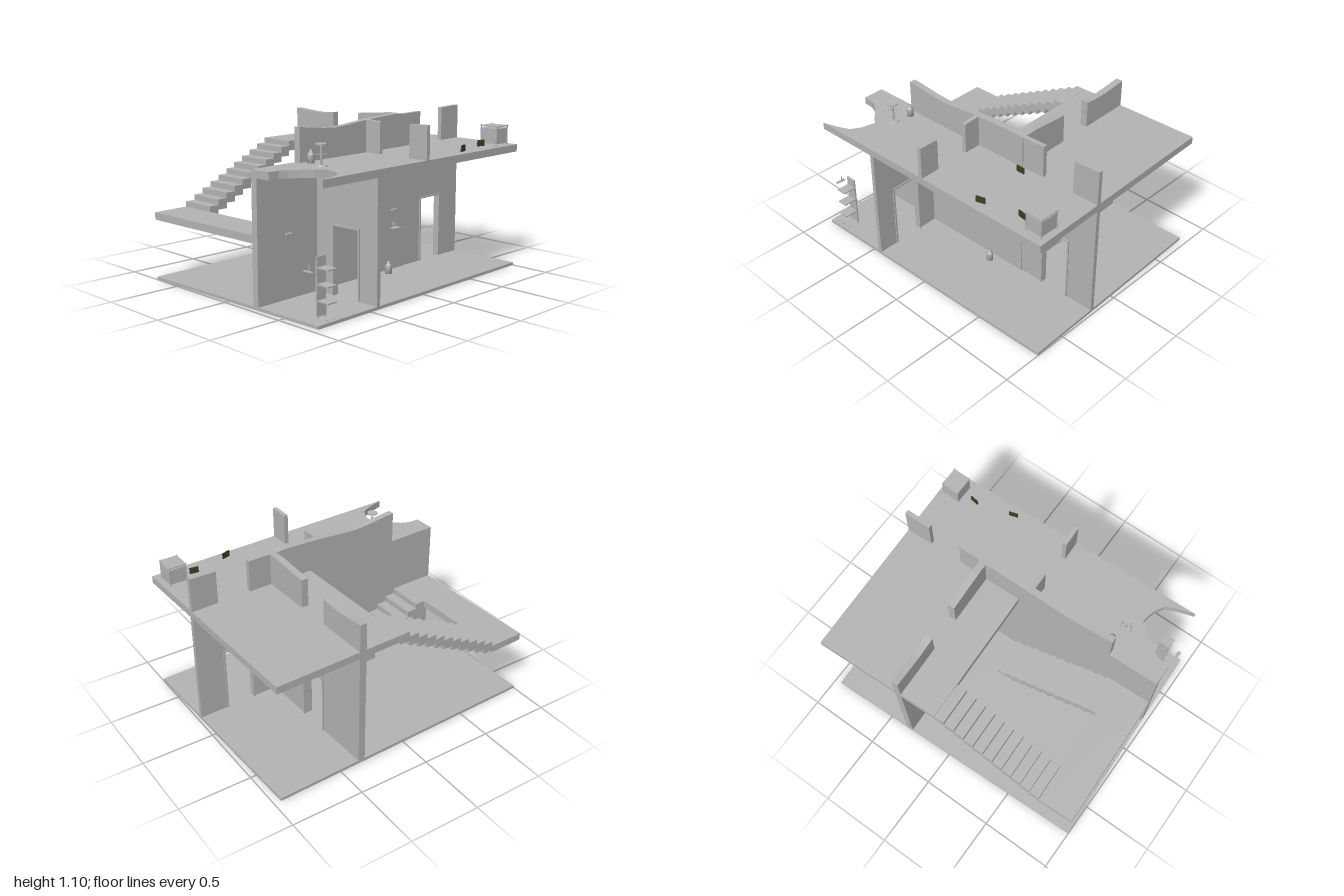
import * as THREE from 'three';

const grey = new THREE.MeshStandardMaterial({ color: 0xb4b4b4, side: THREE.DoubleSide });
grey.name = 'plaster grey';
const olive = new THREE.MeshStandardMaterial({ color: 0x3e3e22 });
olive.name = 'dark olive';

function add(parent, name, geo, x = 0, y = 0, z = 0, mat = grey) {
  const m = new THREE.Mesh(geo, mat);
  m.name = name;
  m.position.set(x, y, z);
  parent.add(m);
  return m;
}

// box given by its min and max on each axis
function block(parent, name, x0, x1, y0, y1, z0, z1, mat = grey) {
  return add(parent, name, new THREE.BoxGeometry(x1 - x0, y1 - y0, z1 - z0),
    (x0 + x1) / 2, (y0 + y1) / 2, (z0 + z1) / 2, mat);
}

// upright wall along x or z: top is a list of [along, y], door is [from, to, height]
function wall(parent, name, axis, c0, c1, y0, top, door) {
  const a = top[0][0], b = top[top.length - 1][0];
  const pts = [[a, y0]];
  if (door) pts.push([door[0], y0], [door[0], door[2]], [door[1], door[2]], [door[1], y0]);
  pts.push([b, y0], ...[...top].reverse());
  const shape = new THREE.Shape(pts.map(p => new THREE.Vector2(...p)));
  const geo = new THREE.ExtrudeGeometry(shape, { depth: c1 - c0, bevelEnabled: false });
  const m = add(parent, name, geo);
  if (axis === 'x') m.position.z = c0;
  else { m.rotation.y = -Math.PI / 2; m.position.x = c1; }
  if (!door) return;
  // door frame, standing slightly proud of the wall
  const f = 0.012, p = 0.008, [d0, d1, h] = door;
  for (const [u0, u1, v0, v1] of [[d0, d0 + f, y0, h], [d1 - f, d1, y0, h], [d0, d1, h - f, h]]) {
    if (axis === 'x') block(parent, 'doorFrame', u0, u1, v0, v1, c0 - p, c1 + p);
    else block(parent, 'doorFrame', c0 - p, c1 + p, v0, v1, u0, u1);
  }
}

// steps rising by equal amounts from x0 (low end) to x1 (high end)
function flight(parent, name, x0, x1, yLow, yHigh, z0, z1, n) {
  const g = new THREE.Group();
  g.name = name;
  parent.add(g);
  const tread = (x1 - x0) / n, rise = (yHigh - yLow) / n;
  for (let i = 0; i < n; i++) {
    const a = x0 + i * tread, b = a + tread, y = yLow + (i + 1) * rise;
    block(g, 'step', Math.min(a, b), Math.max(a, b), Math.max(0.02, y - rise * 1.9), y, z0, z1);
  }
}

function bottle(parent, x, y, z) {
  const prof = [[0, 0], [0.023, 0], [0.023, 0.05], [0.019, 0.061], [0.009, 0.068], [0.009, 0.083], [0, 0.083]];
  add(parent, 'bottle', new THREE.LatheGeometry(prof.map(p => new THREE.Vector2(...p)), 20), x, y, z);
}

export function createModel() {
  const root = new THREE.Group();
  root.name = 'house';
  const house = new THREE.Group();
  house.name = 'building';
  house.rotation.y = 0.031;
  root.add(house);
  const X = 0.975, Z = 0.757, G = 0.02, C = 0.81, U = 0.86;

  // floors: the upper one leaves out the stairwell and a curved bite at a front corner
  block(house, 'groundFloor', -X, X, 0, G, -Z, Z);
  const outline = [[0.08, -Z], [X, -Z], [X, Z], [-0.935, Z], [-0.9, 0.748], [-0.823, 0.725], [-0.742, 0.69],
    [-0.7, 0.62], [-0.677, 0.525], [-0.725, 0.49], [-0.785, 0.43], [-0.845, 0.385], [-0.9, 0.36],
    [-X, 0.355], [-X, 0.205], [0.08, 0.205]];
  const slab = new THREE.ExtrudeGeometry(new THREE.Shape(outline.map(p => new THREE.Vector2(...p))),
    { depth: U - C, bevelEnabled: false });
  slab.rotateX(Math.PI / 2);
  add(house, 'upperFloor', slab, 0, U, 0);

  // ground floor walls
  wall(house, 'mainWall', 'x', 0.205, 0.25, G, [[-X, C], [0.338, C]]);
  wall(house, 'crossWall', 'z', 0.338, 0.387, G, [[-Z, C], [0.25, C]], [-0.379, -0.144, 0.48]);
  wall(house, 'sideWall', 'x', 0.213, 0.243, G, [[0.387, C], [X, C]], [0.553, 0.778, 0.48]);
  wall(house, 'frontPartition', 'z', -0.472, -0.443, G, [[0.25, C], [Z, C]], [0.386, 0.616, 0.48]);

  // upper floor walls with wavy cut tops
  wall(house, 'upperMainWall', 'x', 0.205, 0.25, U, [[-0.618, 1.08], [-0.5, 1.068], [-0.4, 1.056],
    [-0.3, 1.05], [-0.2, 1.056], [0.01, 1.075], [0.27, 1.087], [0.387, 1.08]]);
  wall(house, 'upperSideWall', 'x', 0.213, 0.243, U, [[0.387, 1.08], [0.55, 1.083]]);
  wall(house, 'upperEndWall', 'x', 0.213, 0.243, U, [[0.787, 1.09], [X, 1.097]]);
  wall(house, 'upperCrossWall', 'z', 0.338, 0.387, U, [[-0.147, 1.058], [0, 1.07], [0.12, 1.08], [0.205, 1.08]]);
  wall(house, 'upperBackWall', 'z', 0.338, 0.387, U,
    [[-Z, 1.05], [-0.65, 1.04], [-0.53, 1.033], [-0.45, 1.037], [-0.385, 1.045]]);
  wall(house, 'upperPartition', 'z', -0.016, 0.013, U, [[0.25, 1.075], [0.37, 1.07]]);
  wall(house, 'upperPartition', 'z', -0.016, 0.013, U, [[0.615, 1.076], [Z, 1.08]]);

  // staircase with landing
  flight(house, 'lowerFlight', 0.082, -0.718, G, 0.46, -0.056, 0.205, 11);
  block(house, 'landing', -X, -0.718, 0.41, 0.46, -Z, 0.205);
  flight(house, 'upperFlight', -0.718, 0.078, 0.46, U, -Z, -0.502, 11);

  // cabinet with lid, posts and feet
  const cabinet = new THREE.Group();
  cabinet.name = 'cabinet';
  cabinet.position.set(0.893, U, 0.608);
  root.add(cabinet);
  block(cabinet, 'body', -0.062, 0.062, 0.01, 0.115, -0.066, 0.066);
  block(cabinet, 'lid', -0.064, 0.064, 0.125, 0.132, -0.069, 0.069);
  for (const sx of [-1, 1]) for (const sz of [-1, 1]) {
    add(cabinet, 'post', new THREE.CylinderGeometry(0.004, 0.004, 0.135, 8), sx * 0.06, 0.0675, sz * 0.065);
    add(cabinet, 'knob', new THREE.SphereGeometry(0.007, 10, 8), sx * 0.06, 0.131, sz * 0.065);
    add(cabinet, 'foot', new THREE.SphereGeometry(0.007, 10, 8), sx * 0.06, 0.007, sz * 0.065);
  }

  // small dark plates standing on the upper floor
  for (const [x, z, turn] of [[0.423, 0.285, 0], [0.468, 0.676, 0.3], [0.745, 0.61, -0.14]])
    add(root, 'darkPlate', new THREE.BoxGeometry(0.062, 0.042, 0.008), x, U + 0.022, z, olive).rotation.y = turn;

  // stool
  const stool = new THREE.Group();
  stool.name = 'stool';
  stool.position.set(-0.595, U, 0.443);
  root.add(stool);
  add(stool, 'base', new THREE.CylinderGeometry(0.036, 0.04, 0.008, 24), 0, 0.004, 0);
  add(stool, 'stem', new THREE.CylinderGeometry(0.007, 0.007, 0.13, 12), 0, 0.067, 0);
  add(stool, 'seat', new THREE.CylinderGeometry(0.036, 0.036, 0.008, 24), 0, 0.134, 0);
  add(stool, 'footRing', new THREE.TorusGeometry(0.033, 0.002, 6, 24), 0, 0.073, 0).rotation.x = Math.PI / 2;

  bottle(root, -0.565, U, 0.32);
  bottle(root, 0.163, G, 0.303);

  // shelf rack: back panel and shelves
  const rack = new THREE.Group();
  rack.name = 'shelfRack';
  root.add(rack);
  block(rack, 'backPanel', -0.86, -0.785, 0.03, 0.39, 0.67, 0.68);
  for (const y of [0.12, 0.22, 0.32]) block(rack, 'shelf', -0.858, -0.787, y, y + 0.008, 0.68, 0.77);
  for (const x of [-0.85, -0.795]) for (const z of [0.68, 0.755])
    add(rack, 'foot', new THREE.SphereGeometry(0.006, 8, 6), x, 0.026, z);

  // bracket beside the rack
  block(root, 'bracketTray', -0.945, -0.922, 0.315, 0.319, 0.65, 0.72);
  block(root, 'bracketPost', -0.924, -0.92, 0.315, 0.36, 0.68, 0.686);

  // wall taps, and a small ledge with a cross handle
  for (const [x, z] of [[-0.715, 0.278], [0.275, 0.247]]) {
    for (const s of [-1, 1])
      add(root, 'tapHandle', new THREE.SphereGeometry(0.009, 12, 8), x + s * 0.019, 0.432, z);
    add(root, 'tapSpout', new THREE.CylinderGeometry(0.005, 0.005, 0.025, 10), x, 0.437, z).rotation.x = Math.PI / 2;
  }
  block(root, 'ledge', 0.238, 0.31, 0.31, 0.314, 0.24, 0.285);
  block(root, 'crossBar', 0.258, 0.294, 0.334, 0.338, 0.24, 0.252);
  block(root, 'crossPost', 0.274, 0.278, 0.318, 0.355, 0.24, 0.252);

  return root;
}
